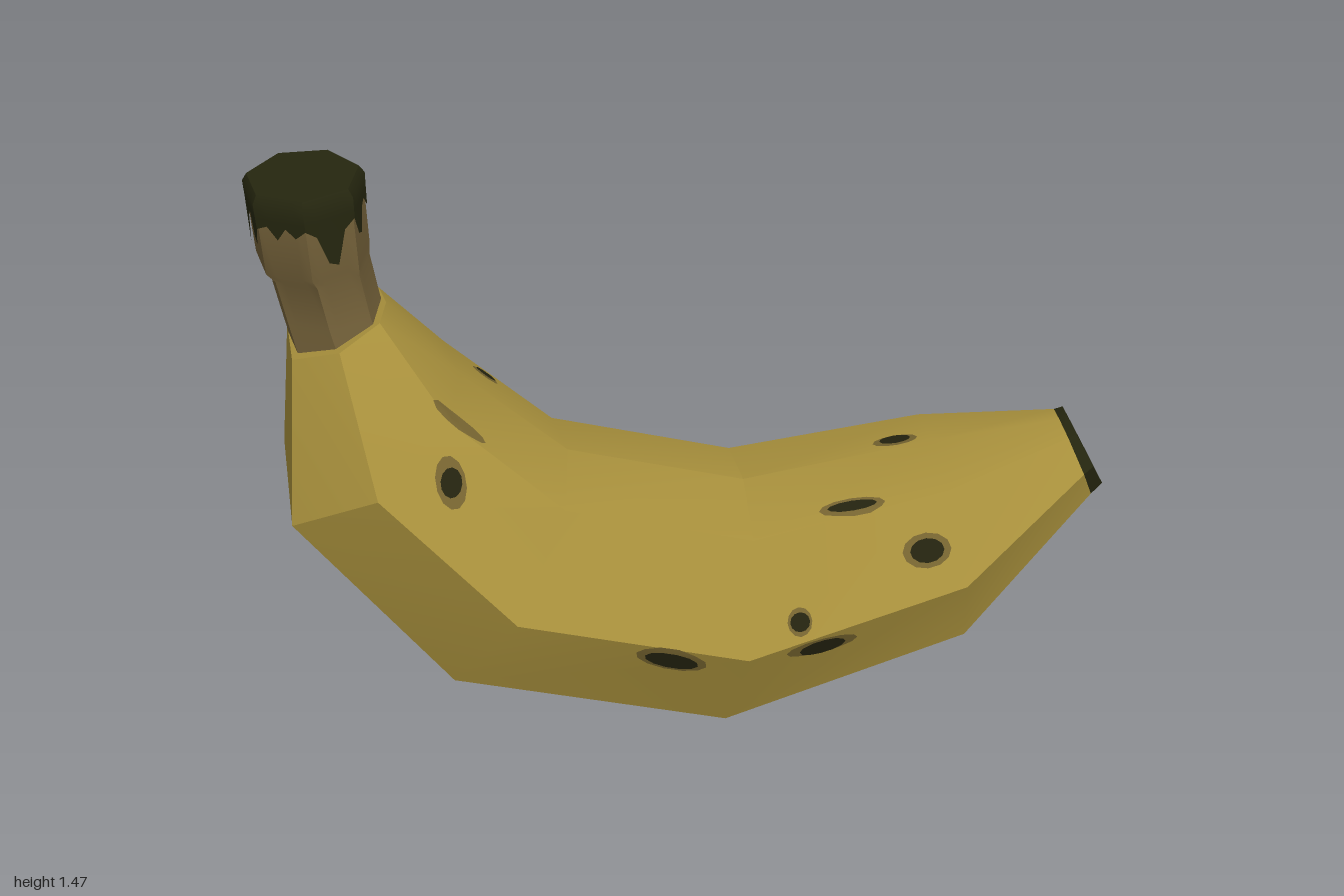
import * as THREE from 'three';
import { toCreasedNormals } from 'three/addons/utils/BufferGeometryUtils.js';

const mat = (name, color, side = THREE.FrontSide) => {
  const m = new THREE.MeshStandardMaterial({ color, side });
  m.name = name;
  return m;
};

// Skin through closed rings of equal length, with optional end caps
function loft(rings, capStart, capEnd, crease = 0.5) {
  const pos = [], n = rings[0].length;
  const tri = (...pts) => pts.forEach((p) => pos.push(p.x, p.y, p.z));
  for (let i = 0; i < rings.length - 1; i++) {
    for (let j = 0; j < n; j++) {
      const k = (j + 1) % n, a = rings[i], b = rings[i + 1];
      tri(a[j], a[k], b[j]);
      tri(a[k], b[k], b[j]);
    }
  }
  const cap = (ring, flip) => {
    const c = ring.reduce((s, p) => s.add(p), new THREE.Vector3()).divideScalar(n);
    for (let j = 0; j < n; j++) {
      const p = ring[j], q = ring[(j + 1) % n];
      flip ? tri(c, q, p) : tri(c, p, q);
    }
  };
  if (capStart) cap(rings[0], true);
  if (capEnd) cap(rings[rings.length - 1], false);
  const geo = new THREE.BufferGeometry();
  geo.setAttribute('position', new THREE.Float32BufferAttribute(pos, 3));
  return toCreasedNormals(geo, crease);
}

// Seven-sided fruit section: [across 0 inner .. 1 outer, width factor]
const SECTION = [[0, 0], [0.07, 0.56], [0.47, 1], [0.94, 0.66], [1, -0.54], [0.52, -1], [0.07, -0.56]];
const fruitRing = ([ix, iy, ox, oy, halfWidth, cz]) => SECTION.map(([t, w]) =>
  new THREE.Vector3(ix + (ox - ix) * t, iy + (oy - iy) * t, cz + w * halfWidth));

// Faceted stem ring; drop lowers each point by its index
const STEM_POINTS = 35, STEM_SIDES = 7;
function stemRing([x, y, r], drop = () => 0) {
  return Array.from({ length: STEM_POINTS }, (_, i) => {
    const th = (i / STEM_POINTS) * Math.PI * 2, step = (Math.PI * 2) / STEM_SIDES;
    const rr = r * Math.cos(step / 2) / Math.cos((th % step) - step / 2) * 1.03;
    return new THREE.Vector3(x + rr * Math.sin(th), y - drop(i), -0.055 + rr * Math.cos(th));
  });
}

export function createModel() {
  const group = new THREE.Group();
  const yellow = mat('peelYellow', 0xa8903c);
  const brown = mat('stemBrown', 0x75623a);
  const dark = mat('darkTip', 0x25260f);
  const spotDark = mat('spotDark', 0x24230f, THREE.DoubleSide);
  const spotHalo = mat('spotHalo', 0x766430, THREE.DoubleSide);
  const add = (name, geo, material) => {
    const m = new THREE.Mesh(geo, material);
    m.name = name;
    group.add(m);
    return m;
  };

  // Curved fruit body: inner x, y, outer x, y, half width, centre z
  const tipBase = [0.89, 0.655, 0.972, 0.462, 0.115, -0.055];
  const body = add('fruitBody', loft([
    [-0.72, 1.135, -0.95, 1.055, 0.14, -0.055],
    [-0.57, 0.94, -1.0, 0.68, 0.31, -0.04],
    [-0.33, 0.72, -0.66, 0.2, 0.34, -0.01],
    [0.09, 0.6, 0.01, 0.0, 0.342, 0.005],
    [0.56, 0.65, 0.63, 0.155, 0.29, -0.02],
    tipBase,
  ].map(fruitRing), true, true), yellow);

  // Dark blossom end
  add('blossomTip', loft([tipBase, [0.91, 0.662, 1.0, 0.49, 0.108, -0.055]].map(fruitRing), false, true), dark);

  // Stem
  add('stem', loft([
    [-0.83, 1.06, 0.115], [-0.845, 1.14, 0.112], [-0.86, 1.25, 0.113],
    [-0.868, 1.275, 0.124], [-0.87, 1.42, 0.126],
  ].map((r) => stemRing(r)), true, true, 0.6), brown);

  // Dark stem cap with uneven drips
  const drips = [0, 0.02, 0.09, 0.1, 0.02, 0, 0.05, 0.06, 0.01, 0, 0.03];
  add('stemCap', loft([
    stemRing([-0.87, 1.4, 0.129], (i) => drips[i % drips.length]),
    stemRing([-0.87, 1.415, 0.13]),
    stemRing([-0.87, 1.45, 0.131]),
    stemRing([-0.87, 1.468, 0.12]),
  ], false, true, 0.6), dark);

  // Spots: thin discs draped on the body along one axis
  const ray = new THREE.Raycaster();
  const AXES = {
    front: new THREE.Vector3(0, 0, 1),
    back: new THREE.Vector3(0, 0, -1),
    top: new THREE.Vector3(0, 1, 0),
  };
  function drape(name, face, u, v, ru, rv, angle, lift, material) {
    const axis = AXES[face];
    const geo = new THREE.RingGeometry(0.001, 1, 12, 3);
    geo.scale(ru, rv, 1).rotateZ(angle).translate(u, v, 0);
    const p = geo.attributes.position;
    for (let i = 0; i < p.count; i++) {
      const a = p.getX(i), b = p.getY(i);
      const from = face === 'top' ? new THREE.Vector3(a, 3, b) : new THREE.Vector3(a, b, 3 * axis.z);
      ray.set(from, axis.clone().negate());
      const hit = ray.intersectObject(body)[0];
      if (!hit) return;
      const q = hit.point.addScaledVector(hit.face.normal, lift);
      p.setXYZ(i, q.x, q.y, q.z);
    }
    geo.computeVertexNormals();
    // Normals point outwards whichever way the disc was draped
    const n = geo.attributes.normal;
    if (n.getX(0) * axis.x + n.getY(0) * axis.y + n.getZ(0) * axis.z < 0) {
      const idx = geo.index.array;
      for (let i = 0; i < idx.length; i += 3) [idx[i], idx[i + 1]] = [idx[i + 1], idx[i]];
      geo.computeVertexNormals();
    }
    add(name, geo, material);
  }

  // face, centre, halo radii (0 = none), dark radii (0 = none), angle
  [
    ['front', -0.61, 0.81, 0.033, 0.055, 0.024, 0.03, 0.25],
    ['front', -0.13, 0.33, 0.09, 0.042, 0.068, 0.03, -0.4],
    ['front', 0.18, 0.385, 0.03, 0.03, 0.024, 0.02, 0],
    ['front', 0.235, 0.31, 0.09, 0.035, 0.058, 0.032, 0],
    ['front', 0.5, 0.5, 0.06, 0.036, 0.042, 0.025, 0],
    ['top', -0.58, 0.12, 0.055, 0.018, 0, 0, 0.2],
    ['top', -0.51, -0.16, 0.028, 0.018, 0.022, 0.014, 0],
    ['top', 0.32, -0.22, 0.09, 0.014, 0.08, 0.011, 0],
    ['top', 0.475, -0.05, 0.055, 0.028, 0.038, 0.022, 0],
    ['top', 0.33, 0.145, 0.08, 0.025, 0.06, 0.015, 0],
    ['back', -0.59, 0.76, 0.035, 0.045, 0.024, 0.032, 0],
    ['back', 0.18, 0.43, 0.04, 0.04, 0.028, 0.026, 0],
    ['back', 0.48, 0.45, 0.045, 0.04, 0.03, 0.025, 0],
    ['back', 0.37, 0.39, 0.03, 0.025, 0, 0, 0],
    ['back', 0.26, 0.28, 0.065, 0.032, 0.045, 0.026, 0.2],
    ['back', -0.085, 0.27, 0.075, 0.036, 0.055, 0.028, 0],
  ].forEach(([face, u, v, hu, hv, du, dv, angle]) => {
    if (hu) drape('spotHalo', face, u, v, hu, hv, angle, 0.003, spotHalo);
    if (du) drape('spotCentre', face, u, v, du, dv, angle, 0.006, spotDark);
  });

  return group;
}
